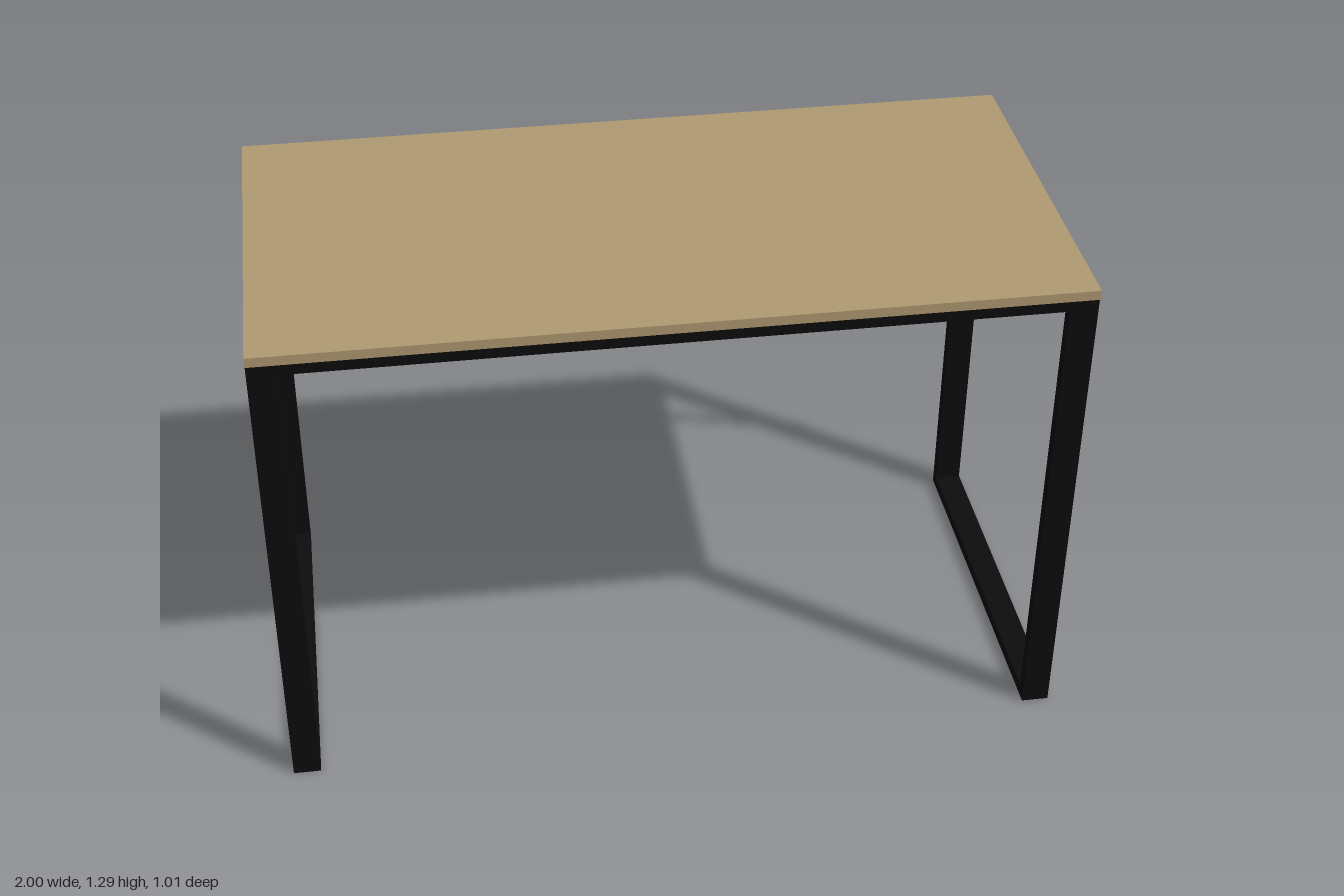
import * as THREE from 'three';

const FRONT = 0.5, BACK = -0.49;      // z limits of the steel frame
const FRAME_TOP = 1.265, TOP = 1.29;  // heights
const BAR = 0.031, WIDE = 0.07;       // steel section

export function createModel() {
  const steel = new THREE.MeshStandardMaterial({ color: 0x0d0d0d });
  steel.name = 'black steel';
  const wood = new THREE.MeshStandardMaterial({ color: 0xb19b73 });
  wood.name = 'tan wood';

  const desk = new THREE.Group();
  desk.name = 'desk';

  const add = (name, geometry, material, x = 0, y = 0, z = 0) => {
    const mesh = new THREE.Mesh(geometry, material);
    mesh.name = name;
    mesh.position.set(x, y, z);
    desk.add(mesh);
    return mesh;
  };
  const polygon = (points, Type = THREE.Shape) =>
    new Type(points.map(([x, y]) => new THREE.Vector2(x, y)));
  const rectangle = (x0, y0, x1, y1, Type) =>
    polygon([[x0, y0], [x1, y0], [x1, y1], [x0, y1]], Type);

  // Table top
  add('tableTop', new THREE.BoxGeometry(2, TOP - FRAME_TOP, FRONT - BACK + 0.006), wood,
    0, (TOP + FRAME_TOP) / 2, (FRONT + BACK) / 2 + 0.003);

  // Closed rectangular leg frames, drawn in the (-z, y) plane and turned to the side
  const legShape = rectangle(-FRONT, 0, -BACK, FRAME_TOP);
  legShape.holes.push(
    rectangle(-FRONT + BAR, BAR, -BACK - BAR, FRAME_TOP - BAR, THREE.Path));
  const legGeometry = new THREE.ExtrudeGeometry(legShape, { depth: WIDE, bevelEnabled: false });
  legGeometry.rotateY(Math.PI / 2);
  add('leftLegFrame', legGeometry, steel, 1 - WIDE);
  add('rightLegFrame', legGeometry, steel, -1);

  // Long rails under the top
  const railGeometry = new THREE.BoxGeometry(2 - 2 * WIDE, BAR, BAR);
  add('frontRail', railGeometry, steel, 0, FRAME_TOP - BAR / 2, FRONT - BAR / 2);
  add('backRail', railGeometry, steel, 0, FRAME_TOP - BAR / 2, BACK + BAR / 2);

  // Flat diagonal braces fixed to the back face
  for (const [name, s] of [['leftBrace', 1], ['rightBrace', -1]]) {
    const shape = polygon([
      [s, 0.606], [s, 0.654], [s * 0.145, FRAME_TOP], [s * 0.08, FRAME_TOP],
    ]);
    add(name, new THREE.ExtrudeGeometry(shape, { depth: 0.012, bevelEnabled: false }),
      steel, 0, 0, BACK - 0.012);
  }

  return desk;
}
